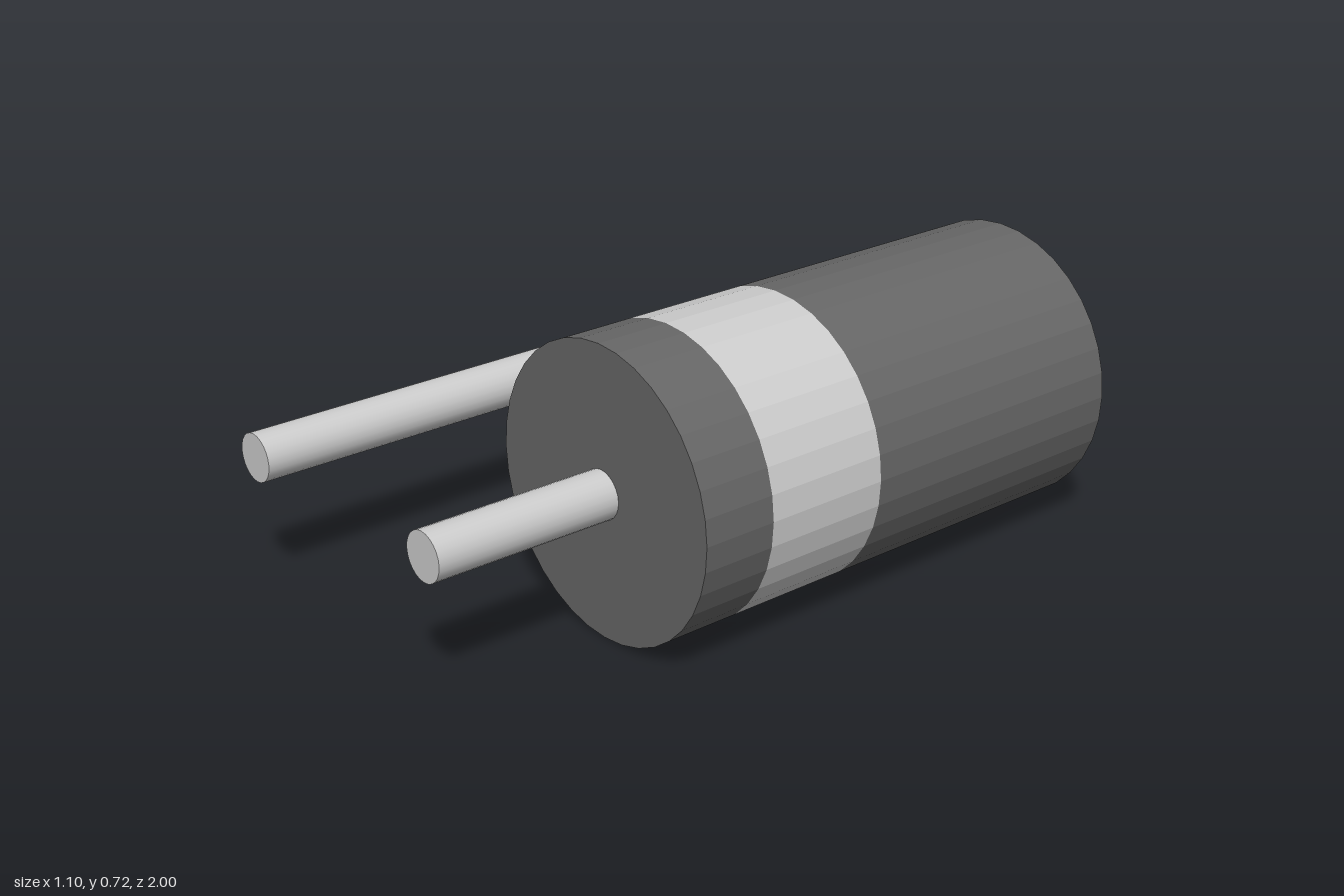
import * as THREE from 'three';

const AXIS_X = 0.19, RETURN_X = -0.49, Y = 0.36;
const BODY_R = 0.358, WIRE_R = 0.06, BEND_R = 0.12;
const BACK_Z = -0.94, BEND_Z = BACK_Z + BEND_R, FRONT_Z = 1;

export function createModel() {
  const group = new THREE.Group();
  const dark = new THREE.MeshStandardMaterial({ color: 0x666666, flatShading: true });
  const light = new THREE.MeshStandardMaterial({ color: 0xcccccc, flatShading: true });
  const metal = new THREE.MeshStandardMaterial({ color: 0xcccccc });

  const add = (name, geometry, material, x, z) => {
    const mesh = new THREE.Mesh(geometry, material);
    mesh.name = name;
    mesh.position.set(x, Y, z);
    group.add(mesh);
  };
  // cylinder along z between two depths
  const rod = (name, radius, sides, x, z0, z1, material, open = false) =>
    add(name, new THREE.CylinderGeometry(radius, radius, z1 - z0, sides, 1, open).rotateX(Math.PI / 2),
      material, x, (z0 + z1) / 2);

  // body: dark casing split by a flush pale band
  rod('bodyBack', BODY_R, 36, AXIS_X, -0.75, 0.01, dark);
  rod('polarityBand', BODY_R, 36, AXIS_X, 0.01, 0.335, light, true);
  rod('bodyFront', BODY_R, 36, AXIS_X, 0.335, 0.525, dark);

  // straight leads: one through the body axis, one returning beside it
  rod('axialLead', WIRE_R, 24, AXIS_X, BEND_Z, FRONT_Z, metal);
  rod('returnLead', WIRE_R, 24, RETURN_X, BEND_Z, FRONT_Z, metal);

  // quarter bends behind the body
  const bend = () => new THREE.TorusGeometry(BEND_R, WIRE_R, 24, 10, Math.PI / 2).rotateX(-Math.PI / 2);
  add('axialBend', bend(), metal, AXIS_X - BEND_R, BEND_Z);
  add('returnBend', bend().rotateY(Math.PI / 2), metal, RETURN_X + BEND_R, BEND_Z);

  // cross piece joining the bends
  const span = AXIS_X - RETURN_X - 2 * BEND_R;
  add('crossLead', new THREE.CylinderGeometry(WIRE_R, WIRE_R, span, 24, 1, true).rotateZ(Math.PI / 2),
    metal, (AXIS_X + RETURN_X) / 2, BACK_Z);

  return group;
}
